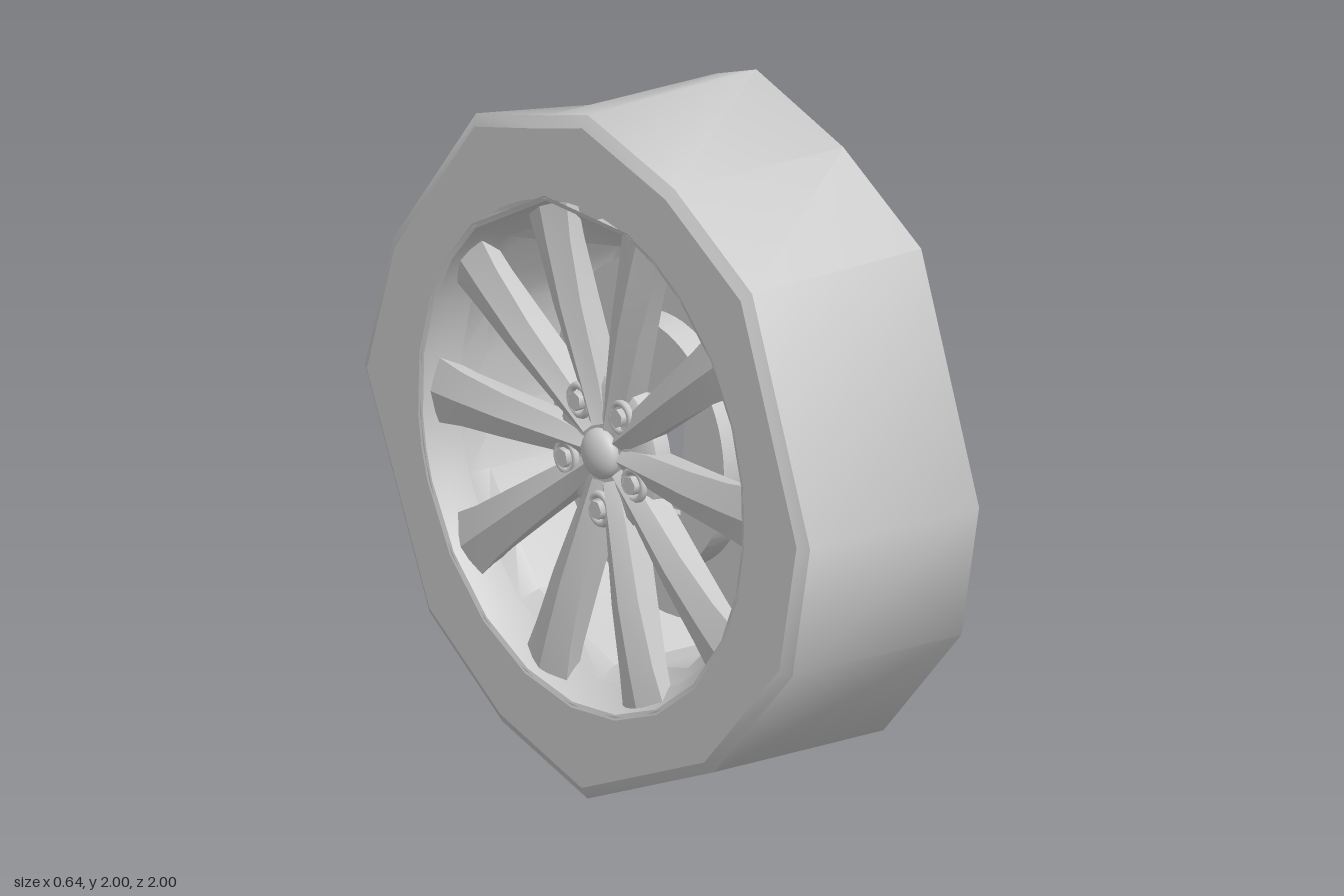
import * as THREE from 'three';
import { toCreasedNormals } from 'three/addons/utils/BufferGeometryUtils.js';

const grey = new THREE.MeshStandardMaterial({ color: 0xcccccc, side: THREE.DoubleSide });

// Outlines are [z, y] points about the axle, running from the top towards +z.
const tyreInner = [[0, 1], [0.39, 0.88], [0.74, 0.68], [1, 0], [0.92, -0.39], [0.57, -0.76], [0, -1],
  [-0.56, -0.77], [-0.82, -0.48], [-1, 0], [-0.87, 0.4], [-0.42, 0.8], [-0.18, 0.94]];
const tyreOuter = [[0, 0.99], [0.39, 0.88], [0.74, 0.67], [1, 0], [0.92, -0.39], [0.57, -0.76], [0, -0.99],
  [-0.38, -0.87], [-0.71, -0.64], [-1, 0], [-0.87, 0.4], [-0.5, 0.86], [-0.18, 0.94]];
const rimOutline = [[0.18, 0.62], [0.38, 0.5], [0.6, 0.24], [0.64, -0.05], [0.55, -0.32], [0.29, -0.56],
  [-0.04, -0.64], [-0.38, -0.51], [-0.6, -0.22], [-0.64, -0.06], [-0.6, 0.25], [-0.44, 0.49]];

const scaled = (pts, s) => pts.map(([z, y]) => [z * s, y * s]);
const circle = (r, n) => Array.from({ length: n }, (_, i) => {
  const a = (i / n) * Math.PI * 2;
  return [r * Math.sin(a), r * Math.cos(a)];
});
// Adds k - 1 points along every edge of an outline.
const subdivide = (pts, k) => pts.flatMap((p, i) => {
  const q = pts[(i + 1) % pts.length];
  return Array.from({ length: k }, (_, j) => [p[0] + (q[0] - p[0]) * j / k, p[1] + (q[1] - p[1]) * j / k]);
});
// Blends an outline towards a circle of radius r.
const rounded = (pts, r, t) => pts.map(([z, y]) => {
  const d = Math.hypot(z, y), s = (d + (r - d) * t) / d;
  return [z * s, y * s];
});

// Skins a list of [x, outline] rings with equal point counts.
function loft(rings, crease = 0.6) {
  const pos = [];
  for (let i = 0; i < rings.length - 1; i++) {
    const [x0, p] = rings[i], [x1, q] = rings[i + 1];
    for (let j = 0; j < p.length; j++) {
      const k = (j + 1) % p.length;
      const a = [x0, p[j][1], p[j][0]], b = [x0, p[k][1], p[k][0]];
      const c = [x1, q[j][1], q[j][0]], d = [x1, q[k][1], q[k][0]];
      pos.push(...a, ...b, ...c, ...b, ...d, ...c);
    }
  }
  const g = new THREE.BufferGeometry();
  g.setAttribute('position', new THREE.Float32BufferAttribute(pos, 3));
  return toCreasedNormals(g, crease);
}
const turned = (profile, n = 48) => loft(profile.map(([x, r]) => [x, circle(r, n)]));

// One tapering spoke along +y, with a ridge down its front.
function spokeGeometry() {
  // radius, half width, front x, back x
  const sections = [[0.08, 0.03, -0.235, -0.16], [0.2, 0.047, -0.245, -0.165], [0.42, 0.063, -0.265, -0.19],
    [0.6, 0.078, -0.27, -0.21], [0.705, 0.095, -0.27, -0.22]];
  const pos = [];
  const rings = sections.map(([r, w, f, b]) =>
    [[b, r, -w * 0.8], [f, r, -w], [f - 0.025, r, 0], [f, r, w], [b, r, w * 0.8]]);
  for (let i = 0; i < rings.length - 1; i++) {
    for (let j = 0; j < 5; j++) {
      const k = (j + 1) % 5;
      const a = rings[i][j], b = rings[i][k], c = rings[i + 1][j], d = rings[i + 1][k];
      pos.push(...a, ...c, ...b, ...b, ...c, ...d);
    }
  }
  const g = new THREE.BufferGeometry();
  g.setAttribute('position', new THREE.Float32BufferAttribute(pos, 3));
  return toCreasedNormals(g, 0.45);
}

export function createModel() {
  const model = new THREE.Group();
  const wheel = new THREE.Group();
  wheel.name = 'wheel';
  wheel.position.y = 1;
  model.add(wheel);
  const add = (name, geometry, parent = wheel) => {
    const mesh = new THREE.Mesh(geometry, grey);
    mesh.name = name;
    parent.add(mesh);
    return mesh;
  };

  // Tyre: uneven many-sided tread and two flat sidewalls
  add('tyreTread', loft([[-0.315, scaled(tyreOuter, 0.965)], [-0.295, tyreOuter],
    [0.29, tyreInner], [0.312, scaled(tyreInner, 0.965)]], 1.0));
  const wallIn = subdivide(scaled(tyreInner, 0.965), 5), wallOut = subdivide(scaled(tyreOuter, 0.965), 5);
  add('innerSidewall', loft([[0.312, wallIn], [0.312, rounded(wallIn, 0.735, 1)]]));
  add('outerSidewall', loft([[-0.315, rounded(wallOut, 0.725, 1)], [-0.315, wallOut]]));

  // Rim: rolled inner lip, faceted barrel, thin outer lip
  const rim = subdivide(rimOutline, 2);
  const lip = [[0.305, 0.745, 1], [0.317, 0.74, 1], [0.32, 0.72, 1], [0.312, 0.69, 0.85],
    [0.29, 0.66, 0.5], [0.26, 0.65, 0.1], [0.22, 0.64, 0]];
  add('rimInnerLip', loft(lip.map(([x, r, t]) => [x, rounded(rim, r, t)]), 0.9));
  add('rimBarrel', loft([[0.22, rim], [-0.17, rim], [-0.22, rounded(rim, 0.68, 0.8)]]));
  add('rimOuterLip', loft([[-0.22, rounded(rim, 0.68, 0.8)], [-0.27, rounded(rim, 0.705, 1)],
    [-0.312, rounded(rim, 0.72, 1)], [-0.317, rounded(rim, 0.735, 1)]], 0.9));

  // Brake disc with a recessed centre
  add('brakeDisc', turned([[-0.1, 0.36], [-0.02, 0.36], [-0.02, 0.51], [0.04, 0.51],
    [0.04, 0.36], [0.032, 0.33], [-0.07, 0.33]], 64));
  const plate = new THREE.Shape().absarc(0, 0, 0.36, 0, Math.PI * 2);
  plate.holes.push(new THREE.Path([[-0.185, 0.145], [0.17, 0.16], [0.225, 0.02], [0.13, -0.19], [-0.165, -0.165]]
    .map(([u, v]) => new THREE.Vector2(u, v))));
  const plateGeometry = new THREE.ExtrudeGeometry(plate, { depth: 0.03, bevelEnabled: false, curveSegments: 32 });
  const disc = add('brakeDiscCentre', plateGeometry.rotateY(Math.PI / 2));
  disc.position.x = -0.1;

  // Hub and domed centre cap
  add('hub', turned([[-0.235, 0.001], [-0.24, 0.1], [-0.235, 0.19], [-0.22, 0.215],
    [-0.17, 0.215], [-0.16, 0.2], [-0.16, 0.001]], 40));
  const cap = add('centreCap', new THREE.SphereGeometry(0.072, 24, 16));
  cap.scale.x = 0.55;
  cap.position.x = -0.25;
  const capBack = add('centreCapBack', new THREE.SphereGeometry(0.072, 24, 16));
  capBack.scale.x = 0.4;
  capBack.position.x = -0.16;

  // Ten spokes
  const spoke = spokeGeometry();
  for (let i = 0; i < 10; i++) {
    add('spoke', spoke).rotation.x = THREE.MathUtils.degToRad(18 + 36 * i);
  }

  // Five wheel nuts, each a collar and a six-sided nut, showing on both faces
  const collar = new THREE.TorusGeometry(0.042, 0.011, 8, 20).rotateY(Math.PI / 2);
  const nut = new THREE.CylinderGeometry(0.028, 0.028, 0.13, 6).rotateZ(Math.PI / 2);
  for (let i = 0; i < 5; i++) {
    const set = new THREE.Group();
    set.name = 'wheelNut';
    set.rotation.x = THREE.MathUtils.degToRad(36 + 72 * i);
    wheel.add(set);
    for (const x of [-0.25, -0.155]) add('nutCollar', collar, set).position.set(x, 0.16, 0);
    add('nut', nut, set).position.set(-0.205, 0.16, 0);
  }

  // Air valve
  const valve = add('airValve', new THREE.CylinderGeometry(0.015, 0.018, 0.1, 10));
  valve.rotation.x = THREE.MathUtils.degToRad(-119);
  valve.position.set(-0.17, -0.29, -0.51);

  return model;
}
